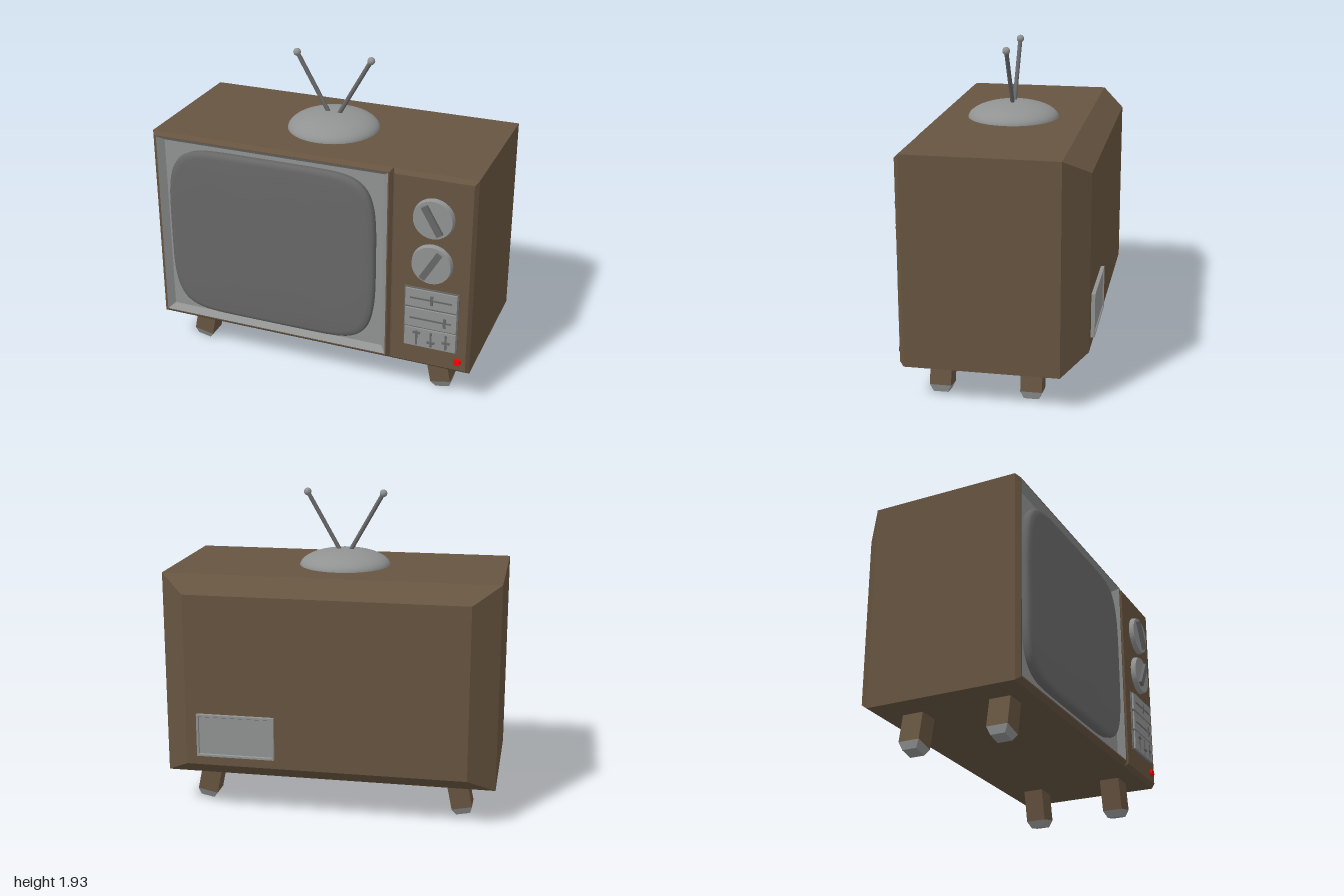
import * as THREE from 'three';
import { mergeVertices } from 'three/addons/utils/BufferGeometryUtils.js';

const material = (color) => new THREE.MeshStandardMaterial({ color });
const wood = material(0x665440);
const grey = material(0x919292);
const dark = material(0x676767);
const red = material(0xff0000);

// Skin a series of closed loops (counter-clockwise seen from +z), with optional end caps.
function loft(loops, capStart = false, capEnd = false) {
  const pos = [];
  const tri = (...pts) => pts.forEach((p) => pos.push(...p));
  const n = loops[0].length;
  for (let k = 0; k < loops.length - 1; k++) {
    const a = loops[k], b = loops[k + 1];
    for (let i = 0; i < n; i++) {
      const j = (i + 1) % n;
      tri(a[i], a[j], b[j]);
      tri(a[i], b[j], b[i]);
    }
  }
  const first = loops[0], last = loops[loops.length - 1];
  for (let i = 1; i < n - 1; i++) {
    if (capStart) tri(first[0], first[i + 1], first[i]);
    if (capEnd) tri(last[0], last[i], last[i + 1]);
  }
  const g = new THREE.BufferGeometry();
  g.setAttribute('position', new THREE.Float32BufferAttribute(pos, 3));
  g.computeVertexNormals();
  return g;
}

const rect = (x0, x1, y0, y1, z) => [[x0, y0, z], [x1, y0, z], [x1, y1, z], [x0, y1, z]];

export function createModel() {
  const model = new THREE.Group();
  model.name = 'television';

  const add = (name, geometry, mat, x = 0, y = 0, z = 0, parent = model) => {
    const mesh = new THREE.Mesh(geometry, mat);
    mesh.name = name;
    mesh.position.set(x, y, z);
    parent.add(mesh);
    return mesh;
  };
  const box = (name, w, h, d, mat, x, y, z, parent) =>
    add(name, new THREE.BoxGeometry(w, h, d), mat, x, y, z, parent);

  // Cabinet with a chamfered back
  add('cabinet', loft([
    rect(-0.84, 0.84, 0.33, 1.37, -0.54),
    rect(-1, 1, 0.23, 1.467, -0.4),
    rect(-1, 1, 0.23, 1.467, 0.49),
  ], true), wood);

  // Front face: screen surround, recessed bezel and control panel
  const lip = rect(-0.97, 0.485, 0.26, 1.44, 0.515);
  add('screenSurround', loft([
    rect(-1, 0.51, 0.23, 1.467, 0.49),
    rect(-0.978, 0.493, 0.252, 1.446, 0.515),
    lip,
  ]), wood);
  add('screenBezel', loft([lip, rect(-0.935, 0.45, 0.29, 1.41, 0.475)], false, true), grey);
  add('controlPanel', loft([
    rect(0.51, 1, 0.23, 1.467, 0.49),
    rect(0.525, 0.98, 0.252, 1.443, 0.515),
  ], false, true), wood);

  // Bulging screen: rounded outline with bowed sides, domed towards the centre
  const bow = (v, exponent) => Math.sign(v) * Math.abs(v) ** exponent;
  const outline = (s, z) => Array.from({ length: 80 }, (_, i) => {
    const t = ((i + 0.5) / 80) * Math.PI * 2;
    return [-0.245 + 0.66 * s * bow(Math.cos(t), 2 / 7), 0.85 + 0.54 * s * bow(Math.sin(t), 2 / 4), z];
  });
  const screen = loft([
    outline(0.99, 0.47), outline(1, 0.5), outline(0.996, 0.514), outline(0.98, 0.525),
    outline(0.94, 0.532), outline(0.7, 0.536), outline(0.35, 0.538), outline(0.02, 0.539),
  ], false, true);
  screen.deleteAttribute('normal');
  const smoothScreen = mergeVertices(screen);
  smoothScreen.computeVertexNormals();
  add('screen', smoothScreen, dark);

  // Two rotary dials with grip bars
  for (const [y, turn] of [[1.21, 0.53], [0.925, -0.53]]) {
    const dial = new THREE.Group();
    dial.name = 'dial';
    dial.position.set(0.76, y, 0.515);
    add('dialBase', new THREE.CylinderGeometry(0.115, 0.122, 0.03, 32), grey, 0, 0, 0.015, dial).rotation.x = Math.PI / 2;
    box('dialGrip', 0.038, 0.19, 0.025, dark, 0, 0, 0.0375, dial).rotation.z = turn;
    model.add(dial);
  }

  // Slider block: three plates on a darker backing
  box('sliderBacking', 0.325, 0.39, 0.012, dark, 0.765, 0.5625, 0.517);
  for (const [y, h] of [[0.695, 0.112], [0.565, 0.118], [0.435, 0.118]]) {
    box('sliderPlate', 0.308, h, 0.018, grey, 0.765, y, 0.525);
  }
  for (const [x, y] of [[0.77, 0.695], [0.85, 0.562]]) {
    box('sliderTrack', 0.25, 0.01, 0.006, dark, 0.765, y, 0.534);
    box('sliderKnob', 0.016, 0.06, 0.01, dark, x, y, 0.536);
  }
  for (const [x, y] of [[0.685, 0.468], [0.772, 0.415], [0.862, 0.432]]) {
    box('smallTrack', 0.012, 0.095, 0.006, dark, x, 0.433, 0.534);
    box('smallKnob', 0.046, 0.014, 0.01, dark, x, y, 0.536);
  }

  // Power lamp
  add('powerLamp', new THREE.CylinderGeometry(0.02, 0.025, 0.016, 20), red, 0.93, 0.31, 0.521).rotation.x = Math.PI / 2;

  // Framed plate on the back
  add('backPlate', loft([
    rect(-0.77, -0.3, 0.39, 0.65, 0.53),
    rect(-0.77, -0.3, 0.39, 0.65, 0.562),
    rect(-0.758, -0.312, 0.402, 0.638, 0.562),
    rect(-0.754, -0.316, 0.406, 0.634, 0.555),
  ], false, true), grey).rotation.y = Math.PI;

  // Splayed square legs with tapered feet
  const square = (r, z) => rect(-r, r, -r, r, z);
  const legGeometry = loft([square(0.0625, -0.207), square(0.0625, 0.05)]);
  const footGeometry = loft([square(0.043, -0.25), square(0.0625, -0.207)], true);
  for (const side of [-1, 1]) {
    for (const z of [0.315, -0.215]) {
      const leg = new THREE.Group();
      leg.name = 'leg';
      leg.position.set(side * 0.755, 0.255, z);
      leg.rotation.z = side * 0.2;
      for (const [name, geometry, mat] of [['legPost', legGeometry, wood], ['legFoot', footGeometry, grey]]) {
        add(name, geometry, mat, 0, 0, 0, leg).rotation.x = -Math.PI / 2;
      }
      model.add(leg);
    }
  }

  // Antenna: domed base, two rods and ball tips
  const dome = add('antennaBase', new THREE.SphereGeometry(0.277, 32, 12, 0, Math.PI * 2, 0, Math.PI / 2), grey, -0.02, 1.463, 0.047);
  dome.scale.y = 0.365;
  for (const side of [-1, 1]) {
    const foot = new THREE.Vector3(-0.02 + side * 0.025, 1.54, 0.047);
    const tip = new THREE.Vector3(-0.02 + side * 0.232, 1.905, 0.047);
    add('antennaRod', new THREE.TubeGeometry(new THREE.LineCurve3(foot, tip), 1, 0.013, 12), dark);
    add('antennaTip', new THREE.SphereGeometry(0.023, 16, 12), grey, tip.x, tip.y, tip.z);
  }

  return model;
}
